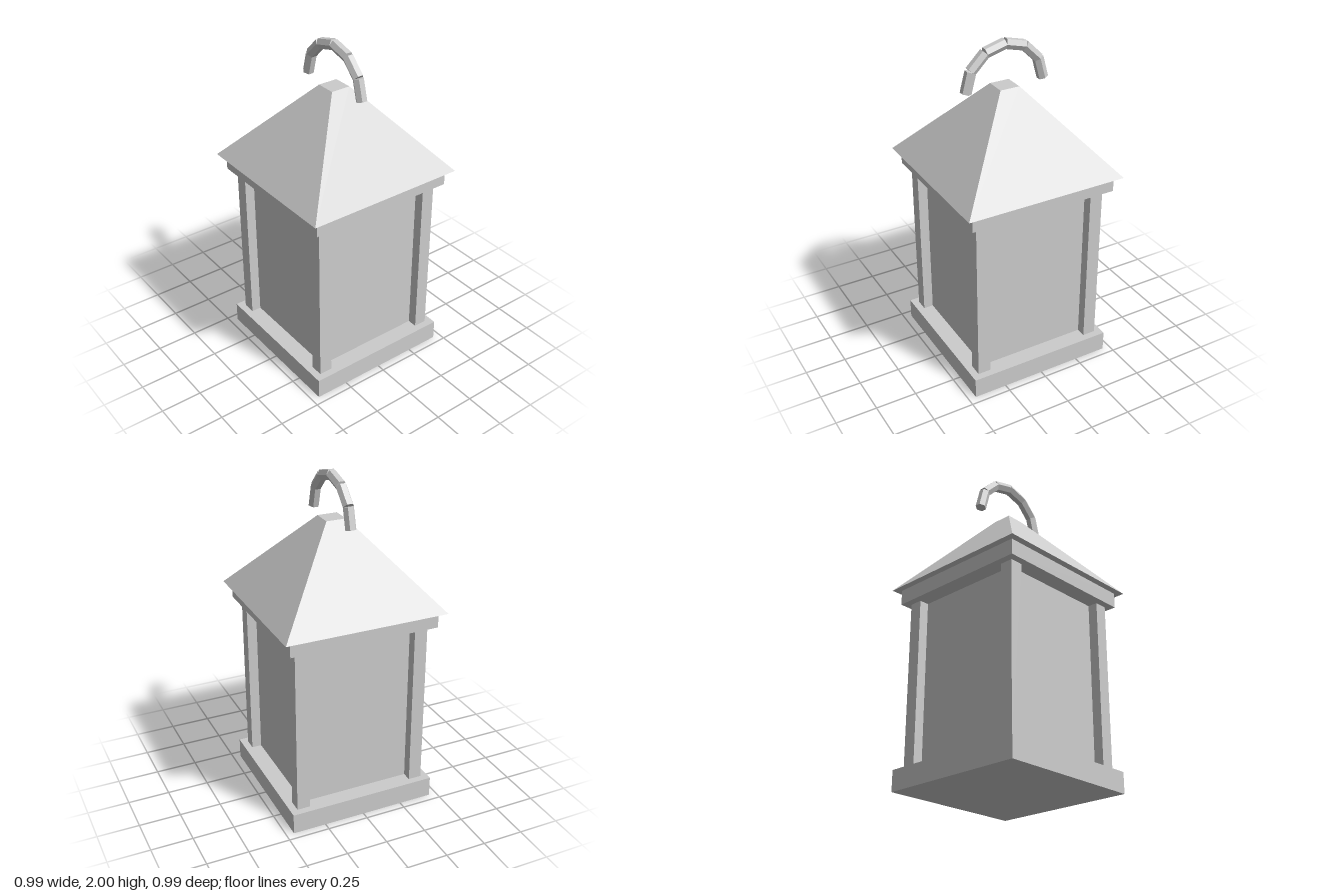
import * as THREE from 'three';

export function createModel() {
  const model = new THREE.Group();
  model.name = 'lantern';
  const grey = new THREE.MeshStandardMaterial({ color: 0xcccccc, flatShading: true });
  grey.name = 'light grey';

  const add = (name, geometry, x, y, z, parent = model) => {
    const mesh = new THREE.Mesh(geometry, grey);
    mesh.name = name;
    mesh.position.set(x, y, z);
    parent.add(mesh);
    return mesh;
  };
  // Square block standing between two heights
  const block = (name, width, y0, y1, x = 0, z = 0) =>
    add(name, new THREE.BoxGeometry(width, y1 - y0, width), x, (y0 + y1) / 2, z);

  // Body: base, recessed panes, four corner posts and top frame
  block('base', 0.906, 0, 0.125);
  block('panes', 0.7, 0.125, 1.145);
  for (const x of [-0.37, 0.37]) {
    for (const z of [-0.37, 0.37]) block('cornerPost', 0.08, 0.125, 1.145, x, z);
  }
  block('topFrame', 0.906, 1.145, 1.238);

  // Roof: four-sided truncated pyramid
  const roof = new THREE.CylinderGeometry(0.06 * Math.SQRT2, 0.493 * Math.SQRT2, 0.49, 4);
  roof.rotateY(Math.PI / 4);
  add('roof', roof, 0, 1.483, 0);

  // Handle: half ring of six straight hexagonal bars with square ends
  const handle = new THREE.Group();
  handle.name = 'handle';
  handle.position.y = 1.727;
  model.add(handle);
  const radius = 0.245;
  const step = Math.PI / 6;
  const bar = new THREE.CylinderGeometry(0.033, 0.033, 2 * radius * Math.sin(step / 2), 6);
  for (let i = 0; i < 6; i++) {
    const angle = (i + 0.5) * step;
    const r = radius * Math.cos(step / 2);
    add('handleBar', bar, r * Math.cos(angle), r * Math.sin(angle), 0, handle).rotation.z = angle;
  }
  return model;
}
